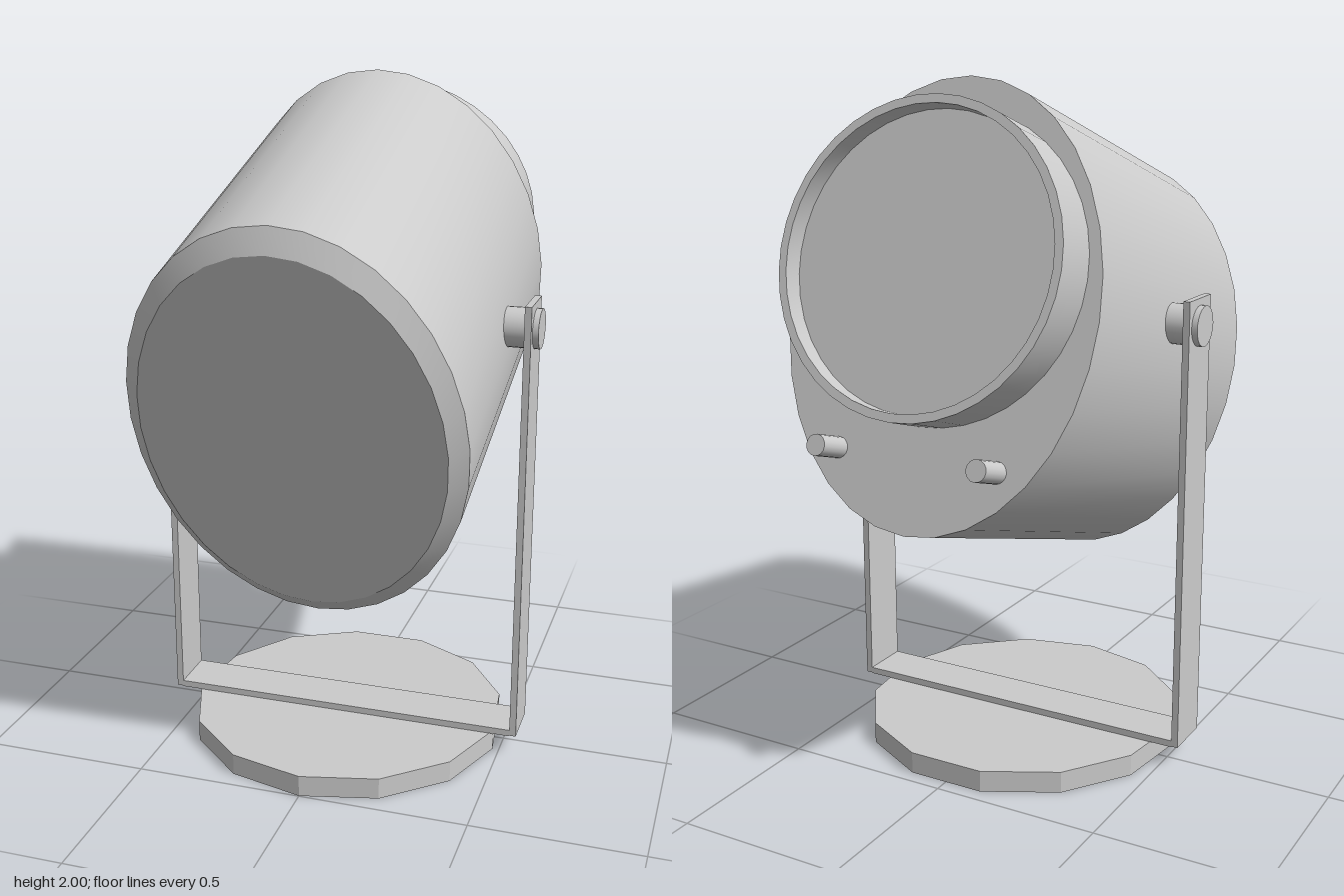
import * as THREE from 'three';
import { toCreasedNormals } from 'three/addons/utils/BufferGeometryUtils.js';

const material = new THREE.MeshStandardMaterial({ color: 0xcccccc });

function part(parent, name, geometry, x = 0, y = 0, z = 0) {
  const mesh = new THREE.Mesh(geometry, material);
  mesh.name = name;
  mesh.position.set(x, y, z);
  parent.add(mesh);
  return mesh;
}

// Turned profile of [radius, z] points, running along z, optionally stretched in height
function turned(profile, segments, stretch = 1) {
  const points = profile.map(([r, z]) => new THREE.Vector2(r, z));
  const geometry = new THREE.LatheGeometry(points, segments);
  geometry.rotateX(Math.PI / 2).scale(1, stretch, 1);
  return toCreasedNormals(geometry, 0.5);
}

export function createModel() {
  const model = new THREE.Group();
  model.name = 'spotlight';

  // Coarse round foot
  const foot = new THREE.CylinderGeometry(0.484, 0.484, 0.064, 13);
  part(model, 'base', toCreasedNormals(foot, 0.3), 0, 0.032, 0.0145);

  // Flat U-shaped bracket
  const bracket = new THREE.Group();
  bracket.name = 'bracket';
  model.add(bracket);
  part(bracket, 'bracketBar', new THREE.BoxGeometry(1.07, 0.02, 0.15), 0, 0.075, 0.02);
  for (const side of [-1, 1]) {
    const label = side > 0 ? 'left' : 'right';
    part(bracket, label + 'BracketArm', new THREE.BoxGeometry(0.02, 1.333, 0.15), side * 0.545, 0.7335, 0.02);
    // Pivot through the arm into the housing
    const pivot = new THREE.CylinderGeometry(0.058, 0.058, 0.15, 24).rotateZ(Math.PI / 2);
    part(bracket, label + 'Pivot', pivot, side * 0.497, 1.322, 0.018);
  }

  // Tilted lamp head
  const head = new THREE.Group();
  head.name = 'head';
  head.position.set(0, 1.256, 0.018);
  head.rotation.x = THREE.MathUtils.degToRad(17.35);
  model.add(head);

  // Oval housing with a chamfered front
  part(head, 'housing', turned([
    [0, -0.5025], [0.48, -0.5025], [0.48, 0.5025], [0.432, 0.543], [0, 0.543],
  ], 32, 1.296));

  // Round rim with recessed lens at the back
  part(head, 'lensRim', turned([
    [0.406, -0.592], [0.406, -0.652], [0.43, -0.652], [0.43, -0.49],
  ], 40), 0, 0.103, 0);
  part(head, 'lens', turned([[0, -0.592], [0.406, -0.592]], 40), 0, 0.103, 0);

  // Small pegs below the rim
  for (const side of [-1, 1]) {
    const peg = new THREE.CylinderGeometry(0.03, 0.03, 0.12, 16).rotateX(Math.PI / 2);
    part(head, side > 0 ? 'leftPeg' : 'rightPeg', peg, side * 0.25, -0.415, -0.55);
  }

  return model;
}
